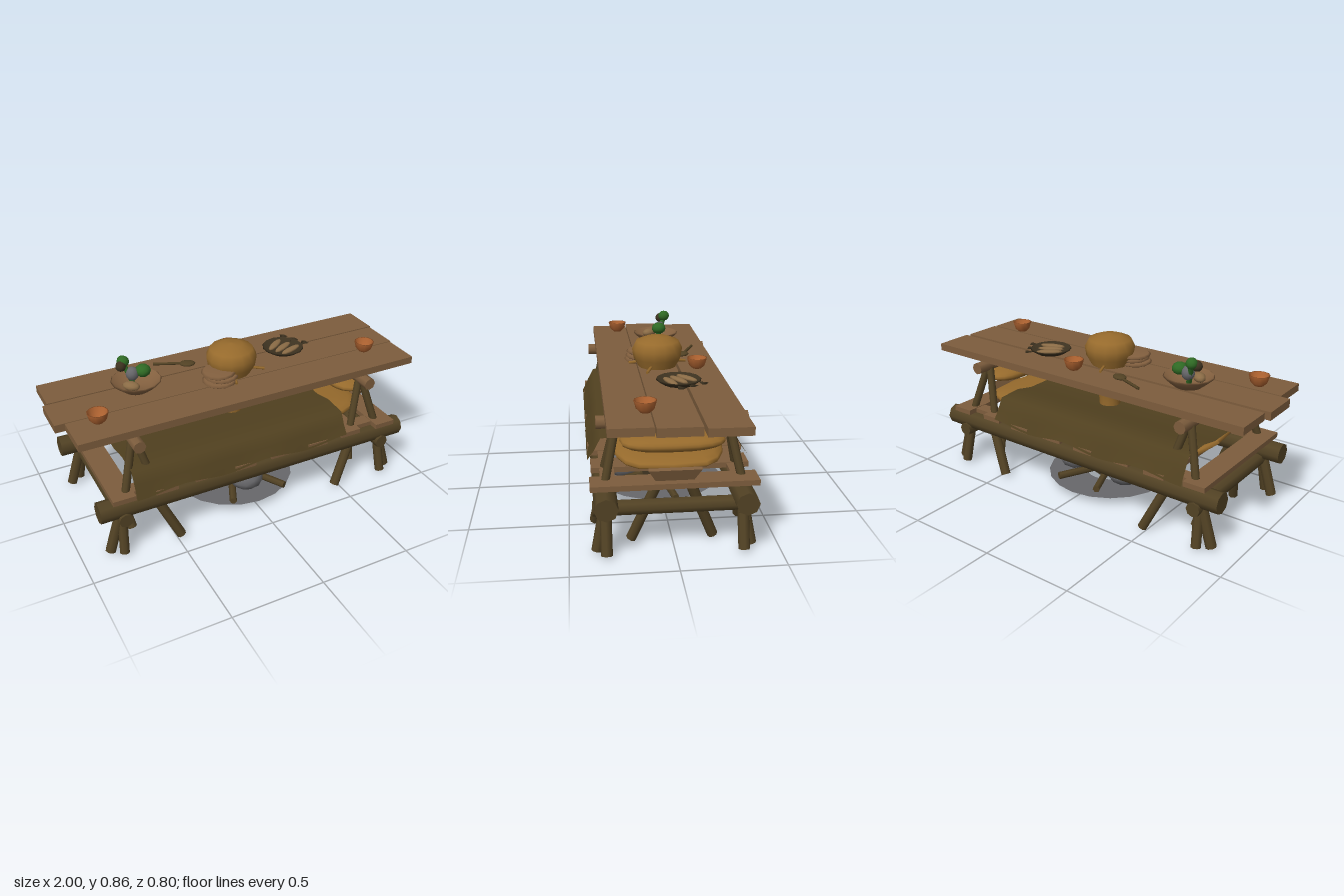
import * as THREE from 'three';

const mat = (name, color, double) => {
  const m = new THREE.MeshStandardMaterial({ color });
  m.name = name;
  if (double) m.side = THREE.DoubleSide;
  return m;
};

export function createModel() {
  const root = new THREE.Group();
  root.name = 'campTable';
  const plank = mat('plank wood', 0x7d5d3d);
  const bark = mat('dark bark', 0x524224);
  const cloth = mat('blanket olive', 0x50401f, true);
  const gourd = mat('gourd yellow', 0x966a2c, true);
  const orange = mat('cup orange', 0xaa602f, true);
  const stone = mat('stone grey', 0x67676a, true);
  const clay = mat('clay brown', 0x83603f, true);
  const green = mat('leaf green', 0x2f6a24);
  const dark = mat('dark dish', 0x3d3220, true);
  const food = mat('food tan', 0x8b6c46);

  const add = (name, geo, m, x = 0, y = 0, z = 0) => {
    const mesh = new THREE.Mesh(geo, m);
    mesh.name = name;
    mesh.position.set(x, y, z);
    root.add(mesh);
    return mesh;
  };
  const box = (name, w, h, d, m, x, y, z) => add(name, new THREE.BoxGeometry(w, h, d), m, x, y, z);
  // round log running from a to b
  const log = (name, a, b, r, m = bark, sides = 8) => {
    const A = new THREE.Vector3(...a), B = new THREE.Vector3(...b);
    const dir = B.clone().sub(A);
    const mesh = add(name, new THREE.CylinderGeometry(r, r, dir.length(), sides), m);
    mesh.position.copy(A).add(B).multiplyScalar(0.5);
    mesh.quaternion.setFromUnitVectors(new THREE.Vector3(0, 1, 0), dir.normalize());
    return mesh;
  };
  const lathe = (name, pts, m, x, y, z, seg = 14) =>
    add(name, new THREE.LatheGeometry(pts.map(p => new THREE.Vector2(...p)), seg), m, x, y, z);
  // puffy cushion: a sphere squared off by a power
  const cushion = (name, rx, ry, rz, p, m, x, y, z) => {
    const g = new THREE.SphereGeometry(1, 20, 12), a = g.attributes.position;
    const f = (v, q) => Math.sign(v) * Math.abs(v) ** q;
    for (let i = 0; i < a.count; i++)
      a.setXYZ(i, f(a.getX(i), p) * rx, a.getY(i) * ry, f(a.getZ(i), p) * rz);
    g.computeVertexNormals();
    return add(name, g, m, x, y, z);
  };
  const rock = (name, r, m, x, y, z, sx = 1, sy = 1, sz = 1) => {
    const mesh = add(name, new THREE.IcosahedronGeometry(r, 1), m, x, y, z);
    mesh.scale.set(sx, sy, sz);
    mesh.rotation.y = x * 7 + z * 3;
    return mesh;
  };

  // Table top
  box('tablePlankBack', 1.97, 0.04, 0.205, plank, 0.01, 0.67, -0.217);
  box('tablePlankMiddle', 1.98, 0.043, 0.205, plank, -0.01, 0.672, 0.003);
  box('tablePlankFront', 1.92, 0.04, 0.205, plank, 0.01, 0.675, 0.215);

  // Trestles, frame ends and splayed legs
  for (const s of [-1, 1]) {
    log('trestleBeam', [s * 0.665, 0.617, -0.358], [s * 0.665, 0.617, 0.358], 0.033, plank);
    log('frameCrossLog', [s * 0.77, 0.227, -0.385], [s * 0.77, 0.227, 0.385], 0.038);
    for (const t of [-1, 1]) {
      for (const d of [-0.08, 0.08])
        log('trestleLeg', [s * 0.665, 0.64, t * 0.258], [s * 0.665 + d, 0.35, t * 0.322], 0.021);
      log('cornerLeg', [s * 0.77, 0.28, t * 0.325], [s * 0.85, 0.02, t * 0.325], 0.028);
      log('cornerLeg', [s * 0.77, 0.28, t * 0.32], [s * 0.79, 0.02, t * 0.37], 0.026);
      log('braceLeg', [s * 0.74, 0.335, t * 0.075], [s * 0.685, 0.02, t * 0.2], 0.026);
      log('innerLeg', [s * 0.6, 0.29, t * 0.325], [s * 0.475, 0.02, t * 0.37], 0.026);
    }
  }
  for (const t of [-1, 1])
    log('frameRail', [-0.895, 0.278, t * 0.325], [0.905, 0.278, t * 0.325], 0.056);

  // Bed slats, mattress and pillow
  for (let i = 0; i < 8; i++)
    box('bedSlat', 0.12, 0.027, i % 2 ? 0.79 : 0.77, plank, -0.77 + i * 0.22, 0.35, 0);
  for (const t of [-1, 1]) box('bedSideBoard', 1.64, 0.024, 0.07, plank, 0.005, 0.349, t * 0.31);
  cushion('mattress', 0.72, 0.048, 0.29, 0.5, gourd, 0.03, 0.408, 0);
  cushion('pillow', 0.125, 0.042, 0.25, 0.7, gourd, 0.685, 0.53, 0);

  // Tapered end board leaning outwards
  const endShape = new THREE.Shape([[-0.125, 0.1], [-0.07, 0], [0.07, 0], [0.125, 0.1]].map(p => new THREE.Vector2(...p)));
  const end = add('endBoard', new THREE.ExtrudeGeometry(endShape, { depth: 0.02, bevelEnabled: false }), plank, 0.76, 0.335, 0);
  end.rotation.set(0.35, Math.PI / 2, 0, 'YXZ');

  // Blanket draped from side to side, with a wavy hem
  const fold = [[-0.4, 0.34], [-0.367, 0.41], [-0.333, 0.475], [-0.2, 0.482], [-0.09, 0.46],
    [0.09, 0.46], [0.2, 0.482], [0.333, 0.475], [0.367, 0.41], [0.4, 0.34]];
  const bg = new THREE.PlaneGeometry(1.22, 1, 24, fold.length - 1), bp = bg.attributes.position;
  for (let i = 0; i < bp.count; i++) {
    const row = Math.floor(i / 25), x = bp.getX(i), [z, y] = fold[row];
    const hem = row === 0 || row === fold.length - 1;
    bp.setXYZ(i, x - 0.1, y + (hem ? 0.012 + 0.012 * Math.sin(x * 13) : 0), z);
  }
  bg.computeVertexNormals();
  add('blanket', bg, cloth);

  // Tall gourd rising through the table from a clay pot
  lathe('gourd', [[0, 0.12], [0.085, 0.13], [0.06, 0.3], [0.058, 0.48], [0.068, 0.55], [0.09, 0.64],
    [0.1, 0.69], [0.128, 0.74], [0.136, 0.79], [0.115, 0.832], [0.06, 0.853], [0, 0.861]], gourd, 0.005, 0, 0);
  lathe('clayPot', [[0.09, 0.13], [0.1, 0.18], [0.14, 0.22], [0.175, 0.26], [0.184, 0.3], [0.165, 0.35],
    [0.12, 0.39]], clay, 0, 0, 0, 12);
  for (const [x, z] of [[-0.04, 0.15], [-0.05, -0.16], [0.17, 0.07]])
    log('gourdTendril', [x * 0.6, 0.71, z * 0.6], [x, 0.7, z], 0.008, gourd, 5);

  // Fireplace: hearth disc, stones, firewood and charred ring
  const hearth = add('hearthDisc', new THREE.RingGeometry(0.14, 0.35, 20), stone, 0, 0.052, 0);
  hearth.rotation.x = -Math.PI / 2;
  for (const [x, z] of [[0, 0.19], [-0.165, -0.09], [0.18, -0.09]])
    rock('hearthStone', 0.093, stone, x, 0.118, z, 1.05, 0.75, 1.05);
  for (const [x, z] of [[0.38, -0.06], [0.18, 0.31], [-0.14, 0.31], [-0.37, -0.03], [-0.11, -0.28], [0.15, -0.28]])
    log('firewood', [x * 0.3, 0.078, z * 0.3], [x, 0.074, z], 0.02, bark, 6);
  lathe('charredRing', [[0.11, 0.05], [0.1, 0.145]], dark, 0, 0, 0.01, 10);

  // Cups
  for (const [x, z] of [[-0.8, 0.17], [0.77, 0.135], [0.09, -0.205]])
    lathe('cup', [[0, 0.002], [0.025, 0.004], [0.043, 0.022], [0.054, 0.06], [0.048, 0.06],
      [0.036, 0.026], [0, 0.012]], orange, x, 0.693, z, 12);

  // Bowl of greens
  lathe('saladBowl', [[0, 0], [0.07, 0.002], [0.105, 0.03], [0.132, 0.055], [0.125, 0.06], [0.08, 0.025], [0, 0.015]],
    clay, -0.52, 0.695, -0.045);
  rock('greenFloret', 0.042, green, -0.475, 0.785, -0.06, 1, 0.8, 1);
  rock('greenFloret', 0.034, green, -0.565, 0.84, -0.1, 1, 0.9, 0.9);
  rock('darkBerry', 0.028, dark, -0.585, 0.825, -0.08);
  rock('greyBulb', 0.035, stone, -0.53, 0.775, -0.07, 1, 1.1, 1);
  log('greenStalk', [-0.53, 0.72, -0.06], [-0.565, 0.83, -0.1], 0.014, green, 6);
  rock('root', 0.04, food, -0.56, 0.74, -0.01, 1.2, 0.6, 0.8);

  // Fish on a dark plate
  lathe('fishPlate', [[0, 0], [0.08, 0.002], [0.115, 0.025], [0.11, 0.03], [0.075, 0.012], [0, 0.01]], dark, 0.365, 0.697, -0.07);
  for (let i = -1; i <= 1; i++) {
    const fish = new THREE.Group();
    fish.name = 'fish';
    const body = new THREE.Mesh(new THREE.SphereGeometry(0.075, 10, 6), food);
    body.name = 'fishBody';
    body.scale.set(1, 0.15, 0.28);
    const tail = new THREE.Mesh(new THREE.ConeGeometry(0.025, 0.05, 4), dark);
    tail.name = 'fishTail';
    tail.rotation.z = Math.PI / 2;
    tail.scale.x = 0.25;
    tail.position.x = 0.105;
    fish.add(body, tail);
    fish.position.set(0.365 + i * 0.025, 0.718, -0.07 + i * 0.045);
    fish.rotation.y = 0.5 - i * 0.15;
    root.add(fish);
  }

  // Stack of flat breads
  for (let i = 0; i < 3; i++)
    lathe('flatBread', [[0, 0], [0.08, 0], [0.092, 0.009], [0.08, 0.018], [0, 0.019]], clay,
      -0.105 + (i % 2) * 0.012, 0.695 + i * 0.022, 0.08 - i * 0.006);

  // Wooden spoon
  log('spoonHandle', [-0.35, 0.703, -0.24], [-0.21, 0.703, -0.18], 0.008, bark, 6);
  const spoon = add('spoonBowl', new THREE.SphereGeometry(0.045, 10, 6), bark, -0.18, 0.703, -0.165);
  spoon.scale.set(1, 0.25, 0.75);
  spoon.rotation.y = -0.4;

  return root;
}
